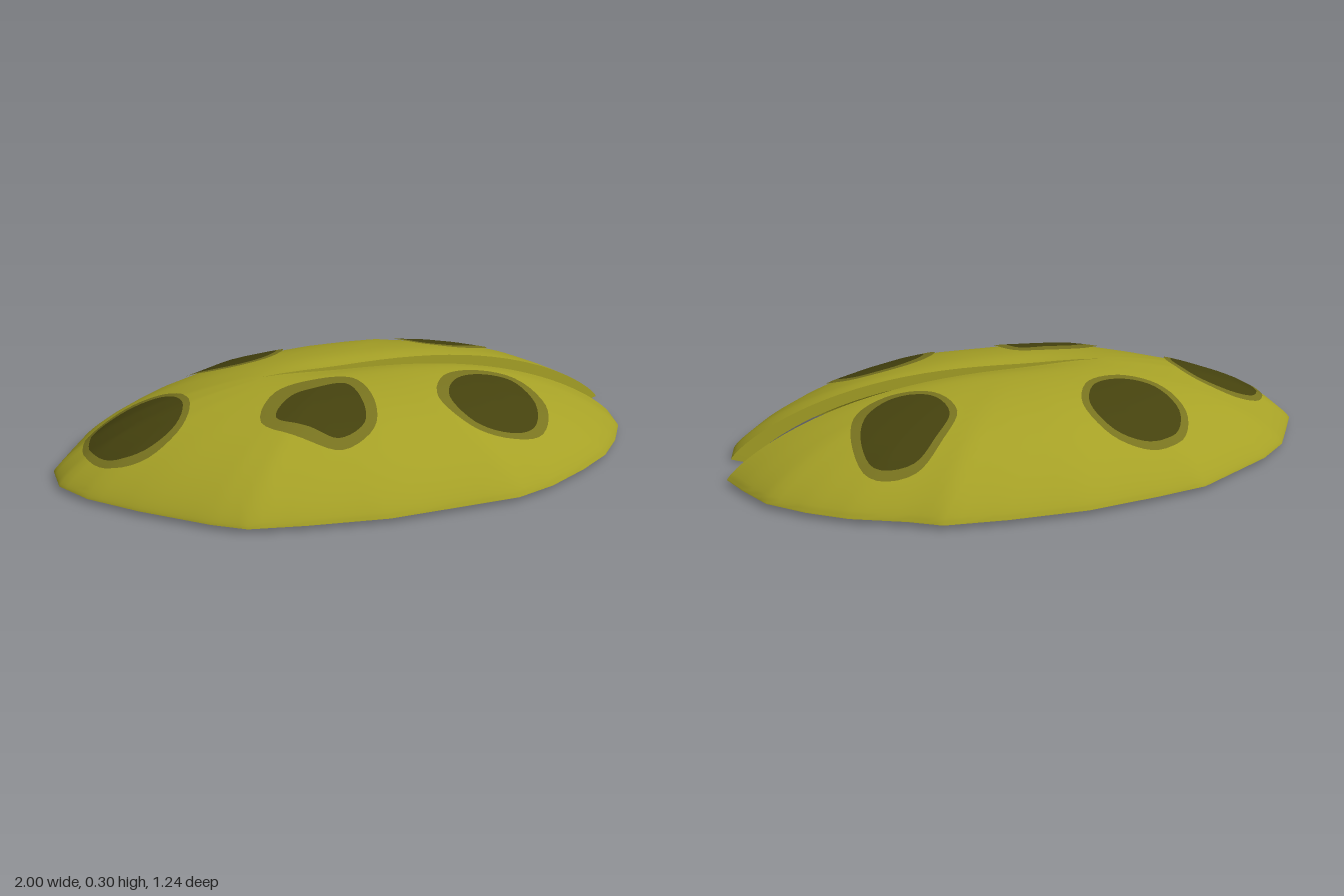
import * as THREE from 'three';
import { toCreasedNormals } from 'three/addons/utils/BufferGeometryUtils.js';

// Rim seen from above as [x, z], running from the front slit corner round to the back one.
const OUTLINE = [
  [0.97, 0.09], [0.95, 0.19], [0.88, 0.3], [0.79, 0.4], [0.67, 0.48], [0.52, 0.56], [0.38, 0.605],
  [-0.06, 0.615], [-0.32, 0.58], [-0.5, 0.545], [-0.6, 0.48], [-0.79, 0.32], [-0.93, 0.18], [-1, 0.06],
  [-1, -0.06], [-0.93, -0.18], [-0.87, -0.28], [-0.76, -0.38], [-0.48, -0.545], [-0.31, -0.58],
  [-0.06, -0.62], [0.2, -0.62], [0.4, -0.605], [0.5, -0.55], [0.67, -0.48], [0.79, -0.4],
  [0.9, -0.3], [0.96, -0.18], [1, -0.08],
];
const SLIT_TIP = [-0.3, 0];
const INSET = 0.94; // inner surface size relative to the outer one

// Distance from the middle as a share of the way to the rim.
function rimShare(x, z) {
  let share = 0;
  OUTLINE.forEach(([ax, az], i) => {
    const [bx, bz] = OUTLINE[(i + 1) % OUTLINE.length];
    const det = ax * bz - az * bx;
    const p = (x * bz - z * bx) / det;
    const q = (ax * z - az * x) / det;
    if (p >= -1e-6 && q >= -1e-6) share = Math.max(share, p + q);
  });
  return Math.min(share, 1);
}

// Domed height with a shallow groove beside the slit.
function height(x, z, base = 0.017, rise = 0.283, scale = 1) {
  const dome = Math.pow(1 - Math.pow(rimShare(x / scale, z / scale), 2.4), 0.8);
  const groove = 0.014 * THREE.MathUtils.smoothstep(x, -0.35, 0) * Math.exp(-((z / 0.06) ** 2));
  return base + dome * (rise - groove);
}

// Surface through rows of points, without zero-area triangles.
function gridTriangles(rows, flip) {
  const out = [];
  const tri = (a, b, c) => {
    const t = flip ? [a, c, b] : [a, b, c];
    const area = b.clone().sub(a).cross(c.clone().sub(a)).length();
    if (area > 1e-9) t.forEach((p) => out.push(p.x, p.y, p.z));
  };
  for (let i = 0; i + 1 < rows.length; i++) {
    for (let j = 0; j + 1 < rows[i].length; j++) {
      const a = rows[i][j], b = rows[i][j + 1], c = rows[i + 1][j + 1], d = rows[i + 1][j];
      tri(a, b, c);
      tri(a, c, d);
    }
  }
  return out;
}

function makeMesh(name, triangles, material) {
  const geometry = new THREE.BufferGeometry();
  geometry.setAttribute('position', new THREE.Float32BufferAttribute(triangles, 3));
  const mesh = new THREE.Mesh(toCreasedNormals(geometry, 0.6), material);
  mesh.name = name;
  return mesh;
}

// Hollow shell: each row climbs over the outside, round the rim and back underneath.
function shellTriangles() {
  const rim = [];
  OUTLINE.forEach(([x, z], i) => {
    const next = OUTLINE[i + 1];
    if (!next) return rim.push([x, z]);
    for (let s = 0; s < 4; s++) rim.push([x + (next[0] - x) * s / 4, z + (next[1] - z) * s / 4]);
  });
  const rings = 28;
  const outer = [], inner = [];
  rim.forEach(([rx, rz]) => {
    const outerRow = [], innerRow = [];
    for (let k = 0; k <= rings; k++) {
      const t = Math.sin((k / rings) * Math.PI / 2);
      const along = (scale) => [
        SLIT_TIP[0] + (rx * scale - SLIT_TIP[0]) * t,
        SLIT_TIP[1] + (rz * scale - SLIT_TIP[1]) * t,
      ];
      const [x, z] = along(1);
      outerRow.push(new THREE.Vector3(x, height(x, z), z));
      const [u, w] = along(INSET);
      innerRow.push(new THREE.Vector3(u, height(u, w, 0, 0.265, INSET), w));
    }
    outer.push(outerRow);
    inner.push(innerRow);
  });
  const wall = (i) => outer[i].map((p, k) => [p, inner[i][k]]);
  return [
    ...gridTriangles(outer.map((row, i) => [...row, ...inner[i].slice().reverse()]), true),
    ...gridTriangles(wall(0), true),
    ...gridTriangles(wall(outer.length - 1), false),
  ];
}

// Closed curve from eight radii around a centre, turning from +x towards +z.
function spotLoop([cx, cz], radii) {
  const points = radii.map((r, i) => {
    const a = (i * Math.PI) / 4;
    return new THREE.Vector3(cx + r * Math.cos(a), 0, cz + r * Math.sin(a));
  });
  return new THREE.CatmullRomCurve3(points, true, 'centripetal').getPoints(40);
}

// Thin patch laid on the dome between two loops.
function patch(from, to, steps) {
  return gridTriangles(from.map((p, i) => {
    const row = [];
    for (let k = 0; k <= steps; k++) {
      const q = p.clone().lerp(to[i], k / steps);
      q.y = height(q.x, q.z) + 0.006;
      row.push(q);
    }
    return row;
  }), true);
}

const SPOTS = [
  { name: 'endSpot', centre: [-0.733, 0.02],
    core: [0.157, 0.155, 0.15, 0.155, 0.157, 0.155, 0.15, 0.155],
    edge: [0.18, 0.18, 0.183, 0.18, 0.178, 0.178, 0.183, 0.18] },
  { name: 'backRightSpot', centre: [-0.315, -0.318],
    core: [0.155, 0.148, 0.14, 0.148, 0.155, 0.148, 0.14, 0.148],
    edge: [0.18, 0.173, 0.165, 0.173, 0.18, 0.173, 0.165, 0.173] },
  { name: 'backLeftSpot', centre: [0.45, -0.28],
    core: [0.14, 0.14, 0.15, 0.16, 0.15, 0.12, 0.15, 0.17],
    edge: [0.17, 0.18, 0.175, 0.18, 0.175, 0.145, 0.18, 0.2] },
  { name: 'frontRightSpot', centre: [-0.16, 0.265],
    core: [0.125, 0.14, 0.135, 0.105, 0.165, 0.125, 0.105, 0.145],
    edge: [0.165, 0.175, 0.175, 0.155, 0.215, 0.185, 0.16, 0.19] },
  { name: 'frontLeftSpot', centre: [0.415, 0.295],
    core: [0.155, 0.15, 0.145, 0.155, 0.155, 0.14, 0.14, 0.165],
    edge: [0.195, 0.18, 0.165, 0.18, 0.195, 0.18, 0.17, 0.195] },
];

export function createModel() {
  const olive = new THREE.MeshStandardMaterial({ color: 0xa6a126 });
  olive.name = 'olive';
  const darkOlive = new THREE.MeshStandardMaterial({ color: 0x78731f });
  darkOlive.name = 'dark olive';
  const deepOlive = new THREE.MeshStandardMaterial({ color: 0x45420e });
  deepOlive.name = 'deep olive';

  const model = new THREE.Group();
  model.name = 'spottedShell';
  model.add(makeMesh('shell', shellTriangles(), olive));

  // Spots: a dark core with a paler border
  for (const { name, centre, core, edge } of SPOTS) {
    const spot = new THREE.Group();
    spot.name = name;
    const coreLoop = spotLoop(centre, core);
    const middle = coreLoop.map(() => new THREE.Vector3(centre[0], 0, centre[1]));
    spot.add(makeMesh('spotCore', patch(middle, coreLoop, 8), deepOlive));
    spot.add(makeMesh('spotBorder', patch(coreLoop, spotLoop(centre, edge), 3), darkOlive));
    model.add(spot);
  }
  return model;
}
